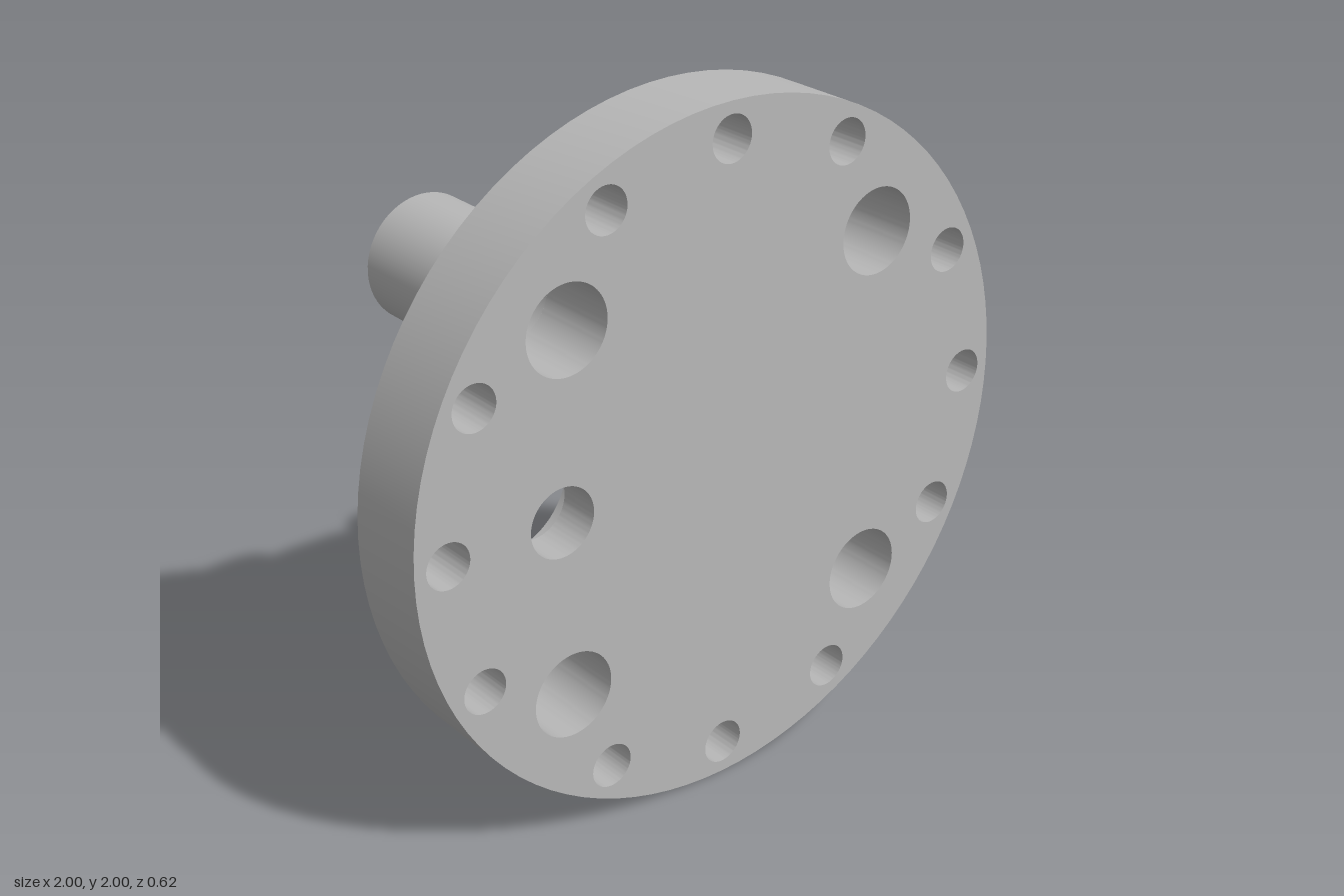
import * as THREE from 'three';
import { toCreasedNormals } from 'three/addons/utils/BufferGeometryUtils.js';

const FRONT = 0.31, PLATE_BACK = 0.06, BOSS_BACK = -0.31;
const BOSS = 0.525;      // offset of each main boss from the plate centre
const BORE = 0.125;      // through bore of each main boss
const ARM = 0.275;       // distance from main boss to its small side boss
const CY = 1;            // height of the plate centre

const metal = new THREE.MeshStandardMaterial({ color: 0xb8b8b8 });
metal.name = 'greyMetal';

function hole(shape, x, y, r) {
  shape.holes.push(new THREE.Path().absarc(x, y, r, 0, Math.PI * 2, true));
}

function disc(r) {
  return new THREE.Shape().absarc(0, 0, r, 0, Math.PI * 2, false);
}

// Extrudes a shape between two z planes, with smooth walls and sharp rims
function solid(name, shape, z0, z1, x, y, segments) {
  const geo = new THREE.ExtrudeGeometry(shape, {
    depth: z1 - z0, bevelEnabled: false, curveSegments: segments,
  });
  const mesh = new THREE.Mesh(toCreasedNormals(geo, 0.5), metal);
  mesh.name = name;
  mesh.position.set(x, y, z0);
  return mesh;
}

// Main round boss with straight-walled arms ending in small round bosses
function bossShape(angles) {
  const R = 0.175, w = 0.1, phi = Math.asin(w / R), q = Math.PI / 2;
  const s = new THREE.Shape();
  angles.forEach((a, i) => {
    const next = i + 1 < angles.length ? angles[i + 1] : angles[0] + Math.PI * 2;
    const x = ARM * Math.cos(a), y = ARM * Math.sin(a);
    s.absarc(x, y, w, a - q, a + q, false);
    s.absarc(0, 0, R, a + phi, next - phi, false);
    hole(s, x, y, 0.075);
  });
  hole(s, 0, 0, BORE);
  return s;
}

export function createModel() {
  const group = new THREE.Group();
  group.name = 'flangePlate';

  // Round plate with rim holes, four bores and the wide pocket
  const plate = disc(1);
  for (const base of [0, 90, 180, 270]) {
    for (const step of [0, 26.4, 63.6]) {
      const a = THREE.MathUtils.degToRad(base + step);
      hole(plate, 0.9 * Math.cos(a), 0.9 * Math.sin(a), 0.065);
    }
  }
  for (const sx of [-1, 1]) for (const sy of [-1, 1]) hole(plate, sx * BOSS, sy * BOSS, BORE);
  hole(plate, -0.55, 0, 0.2);
  group.add(solid('plate', plate, PLATE_BACK, FRONT, 0, CY, 48));

  // Floor of the pocket, with its smaller through hole
  const floor = disc(0.2);
  hole(floor, 0, 0, 0.1);
  group.add(solid('counterboreFloor', floor, 0.185, FRONT, -0.55, CY, 48));

  // Bosses on the back: one arm each on the right, two on the left
  const P = Math.PI;
  const bosses = [
    ['upperLeftBoss', 1, 1, [P, 1.5 * P]],
    ['lowerLeftBoss', 1, -1, [0.5 * P, P]],
    ['upperRightBoss', -1, 1, [0]],
    ['lowerRightBoss', -1, -1, [0]],
  ];
  for (const [name, sx, sy, angles] of bosses) {
    group.add(solid(name, bossShape(angles), BOSS_BACK, PLATE_BACK, sx * BOSS, CY + sy * BOSS, 24));
  }
  return group;
}
